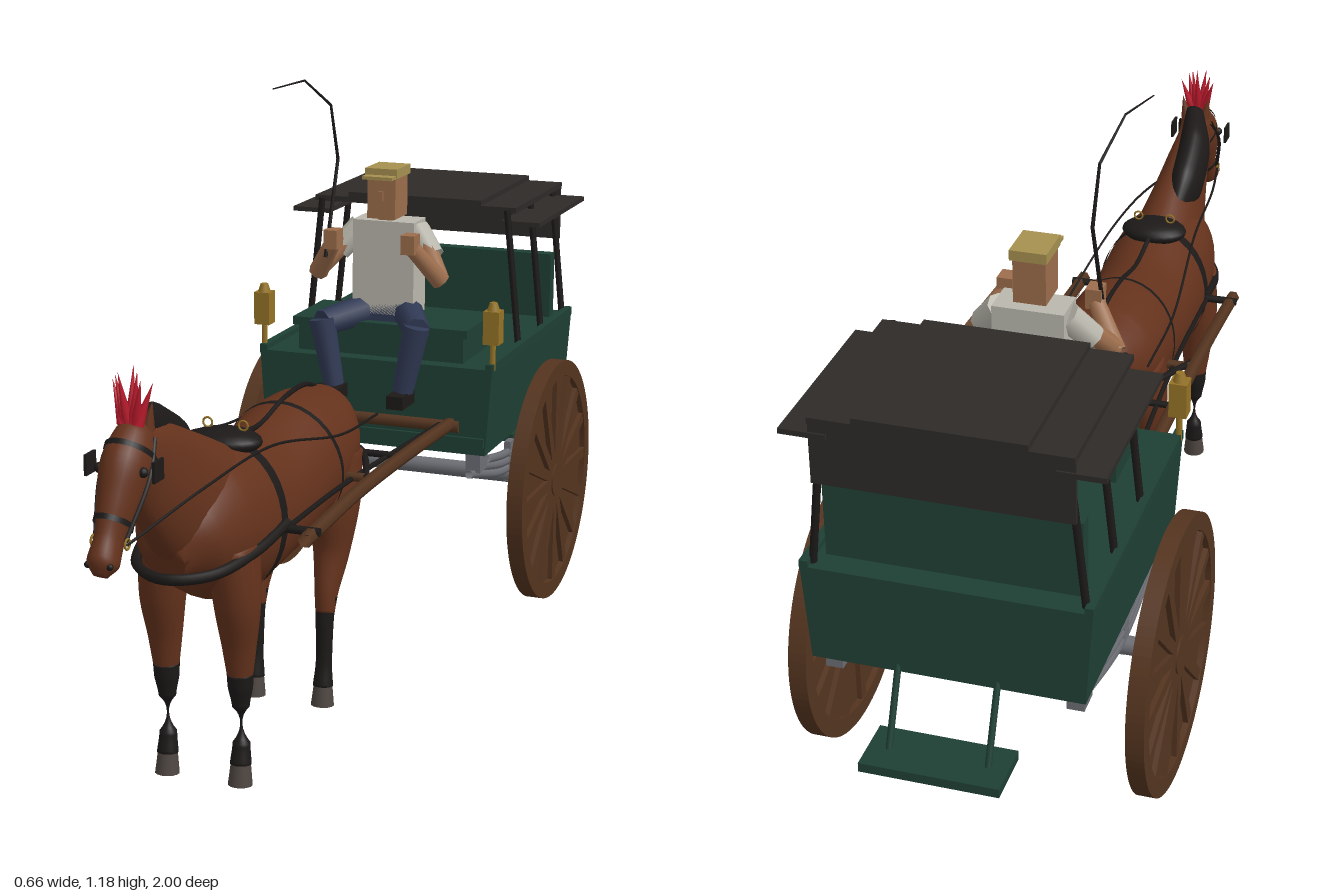
import * as THREE from 'three';

const V = (p) => new THREE.Vector3(...p);
const mats = {};
const mat = (color) => (mats[color] ??= new THREE.MeshStandardMaterial({ color, side: THREE.DoubleSide }));
const GREEN = 0x1f4034, BROWN = 0x64321c, WOOD = 0x54341f, BLACK = 0x1c1918, ROOF = 0x2d2a28,
  GREY = 0x6c6e74, SHIRT = 0xbab8ad, JEANS = 0x313a55, SKIN = 0x9c6d4c, CAP = 0xa69050, RED = 0xb5182a, GOLD = 0x957326;

export function createModel() {
  const root = new THREE.Group();
  let group = root;
  const section = (name) => { group = new THREE.Group(); group.name = name; root.add(group); };
  const add = (name, geo, color, pos = [0, 0, 0]) => {
    const m = new THREE.Mesh(geo, mat(color));
    m.name = name;
    m.position.set(...pos);
    group.add(m);
    return m;
  };
  const box = (name, color, size, pos) => add(name, new THREE.BoxGeometry(...size), color, pos);
  // straight member between two points
  const rod = (name, color, a, b, r1, r2 = r1, sides = 10) => {
    const d = V(b).sub(V(a));
    const m = add(name, new THREE.CylinderGeometry(r2, r1, d.length(), sides), color, V(a).lerp(V(b), 0.5).toArray());
    m.quaternion.setFromUnitVectors(V([0, 1, 0]), d.normalize());
    return m;
  };
  const tube = (name, color, pts, r, type = 'centripetal') =>
    add(name, new THREE.TubeGeometry(new THREE.CatmullRomCurve3(pts.map(V), false, type), 40, r, 6), color);
  // flat strap looped round an ellipse
  const band = (name, y, z, rx, ry, width, tilt = 0) => {
    const g = new THREE.CylinderGeometry(1, 1, 1, 36, 1, true).scale(rx, width, ry).rotateX(Math.PI / 2 + tilt);
    return add(name, g, BLACK, [0, y, z]);
  };
  // smooth skin over elliptical rings: rows of x, y, z, half width, half depth
  const loft = (name, color, rows, steps = 32, sides = 24) => {
    const path = new THREE.CatmullRomCurve3(rows.map((r) => V(r.slice(0, 3))));
    const size = new THREE.CatmullRomCurve3(rows.map((r) => V([r[3], r[4], 0])));
    const pos = [], idx = [];
    for (let i = 0; i <= steps; i++) {
      const c = path.getPoint(i / steps), s = size.getPoint(i / steps), d = path.getTangent(i / steps);
      const tilt = Math.atan2(-d.y, d.z);
      for (let j = 0; j < sides; j++) {
        const t = (j / sides) * Math.PI * 2, h = s.y * Math.sin(t), k = (j + 1) % sides;
        pos.push(c.x + s.x * Math.cos(t), c.y + h * Math.cos(tilt), c.z + h * Math.sin(tilt));
        const a = i * sides + j, b = i * sides + k;
        if (i < steps) idx.push(a, b, a + sides, b, b + sides, a + sides);
      }
    }
    const last = steps * sides;
    for (let j = 1; j < sides - 1; j++) idx.push(0, j + 1, j, last, last + j, last + j + 1);
    const g = new THREE.BufferGeometry();
    g.setAttribute('position', new THREE.Float32BufferAttribute(pos, 3));
    g.setIndex(idx);
    g.computeVertexNormals();
    return add(name, g, color);
  };

  // Cart body, widening slightly upward
  section('cart');
  const tub = new THREE.BoxGeometry(0.52, 0.185, 0.6), tp = tub.attributes.position;
  for (let i = 0; i < tp.count; i++) if (tp.getY(i) < 0) tp.setX(i, tp.getX(i) * 0.95);
  tub.computeVertexNormals();
  add('cartBody', tub, GREEN, [0, 0.49, -0.59]);
  box('frontTrim', GREEN, [0.49, 0.02, 0.015], [0, 0.425, -0.29]);
  box('seatBox', GREEN, [0.37, 0.06, 0.16], [0, 0.61, -0.405]);
  box('seatTop', GREEN, [0.39, 0.018, 0.175], [0, 0.646, -0.405]);
  box('backBoard', GREEN, [0.46, 0.145, 0.03], [0, 0.655, -0.828]);
  box('rearStep', GREEN, [0.254, 0.018, 0.108], [0, 0.265, -0.946]);
  rod('axle', GREY, [-0.3, 0.282, -0.555], [0.3, 0.282, -0.555], 0.018, 0.018, 16);
  for (const s of [-1, 1]) {
    box('topRail', GREEN, [0.016, 0.018, 0.6], [s * 0.253, 0.585, -0.59]);
    rod('stepBracket', GREEN, [s * 0.09, 0.41, -0.885], [s * 0.09, 0.265, -0.95], 0.006);
    // leaf springs and hangers
    for (const [k, dip] of [[0, 0.3], [1, 0.318], [2, 0.336]])
      tube('leafSpring', GREY, [[s * 0.22, 0.36, -0.84 + k * 0.06], [s * 0.22, dip, -0.555], [s * 0.22, 0.36, -0.27 - k * 0.06]], 0.009);
    for (const z of [-0.835, -0.32]) box('springHanger', GREY, [0.032, 0.045, 0.05], [s * 0.22, 0.38, z]);
    box('springClamp', GREY, [0.014, 0.09, 0.03], [s * 0.22, 0.315, -0.555]);
    // lamps
    box('lamp', GOLD, [0.034, 0.07, 0.034], [s * 0.256, 0.672, -0.305]);
    rod('lampCap', GOLD, [s * 0.256, 0.706, -0.305], [s * 0.256, 0.724, -0.305], 0.014, 0.008);
    rod('lampStem', GOLD, [s * 0.256, 0.58, -0.305], [s * 0.256, 0.64, -0.305], 0.006);
    // roof posts
    for (const z of [-0.53, -0.7, -0.87]) rod('roofPost', BLACK, [s * 0.243, 0.58, z], [s * 0.212, 0.875, z], 0.007);
    box('roofWing', ROOF, [0.085, 0.01, 0.355], [s * 0.24, 0.846, -0.712]);
  }
  box('roofPanel', ROOF, [0.46, 0.012, 0.355], [0, 0.874, -0.712]);
  box('roofCentre', ROOF, [0.304, 0.012, 0.355], [0, 0.885, -0.712]);
  box('rearFlap', ROOF, [0.46, 0.12, 0.008], [0, 0.812, -0.882]);

  // Wheels: rim ring, recessed disc, spokes, hub
  const ring = new THREE.Shape().absarc(0, 0, 0.262, 0, Math.PI * 2);
  ring.holes.push(new THREE.Path().absarc(0, 0, 0.228, 0, Math.PI * 2));
  const rimGeo = new THREE.ExtrudeGeometry(ring, { depth: 0.034, bevelEnabled: false, curveSegments: 48 })
    .translate(0, 0, -0.017).rotateY(Math.PI / 2);
  for (const s of [-1, 1]) {
    section(s > 0 ? 'leftWheel' : 'rightWheel');
    group.position.set(s * 0.313, 0.282, -0.555);
    add('rim', rimGeo, WOOD);
    add('wheelDisc', new THREE.CylinderGeometry(0.235, 0.235, 0.01, 48).rotateZ(Math.PI / 2), WOOD);
    add('hub', new THREE.CylinderGeometry(0.036, 0.036, 0.036, 20).rotateZ(Math.PI / 2), WOOD);
    for (let i = 0; i < 16; i++) {
      const sp = box('spoke', WOOD, [0.03, 0.2, 0.023], [0, 0, 0]);
      sp.geometry.translate(0, 0.132, 0);
      sp.rotation.x = (i * Math.PI) / 8;
    }
  }

  // Shafts and cross pieces
  section('shafts');
  for (const s of [-1, 1])
    tube('shaft', WOOD, [[s * 0.17, 0.46, -0.3], [s * 0.17, 0.468, 0], [s * 0.17, 0.468, 0.25], [s * 0.17, 0.453, 0.52]], 0.014);
  rod('splinterBar', WOOD, [-0.19, 0.455, -0.292], [0.19, 0.455, -0.292], 0.013);
  rod('rearCrossbar', BLACK, [-0.17, 0.468, 0], [0.17, 0.468, 0], 0.007);
  for (const s of [-1, 1]) {
    rod('shaftStrap', WOOD, [s * 0.1, 0.468, 0.165], [s * 0.18, 0.468, 0.165], 0.009);
    rod('shaftLoop', BLACK, [s * 0.1, 0.46, 0.485], [s * 0.185, 0.46, 0.485], 0.008);
  }

  // Horse
  section('horse');
  loft('horseBody', BROWN, [[0, 0.53, -0.025, 0.02, 0.03], [0, 0.53, 0.01, 0.075, 0.075], [0, 0.515, 0.08, 0.108, 0.105],
    [0, 0.49, 0.2, 0.117, 0.13], [0, 0.465, 0.35, 0.115, 0.13], [0, 0.47, 0.5, 0.115, 0.145],
    [0, 0.485, 0.6, 0.108, 0.13], [0, 0.48, 0.68, 0.085, 0.095], [0, 0.46, 0.735, 0.035, 0.04]], 48, 32);
  loft('neck', BROWN, [[0, 0.5, 0.57, 0.085, 0.13], [0, 0.56, 0.67, 0.064, 0.118], [0, 0.635, 0.775, 0.044, 0.09], [0, 0.69, 0.855, 0.033, 0.05]]);
  loft('head', BROWN, [[0, 0.735, 0.825, 0.016, 0.015], [0, 0.715, 0.845, 0.034, 0.042], [0, 0.67, 0.878, 0.043, 0.058], [0, 0.615, 0.915, 0.034, 0.047],
    [0, 0.565, 0.95, 0.024, 0.033], [0, 0.535, 0.972, 0.027, 0.031], [0, 0.515, 0.983, 0.012, 0.014]]);
  loft('mane', BLACK, [[-0.02, 0.6, 0.59, 0.018, 0.03], [-0.024, 0.645, 0.67, 0.036, 0.06], [-0.02, 0.695, 0.755, 0.034, 0.055], [0, 0.742, 0.835, 0.02, 0.022]]);
  loft('forelock', BLACK, [[0, 0.74, 0.835, 0.02, 0.012], [0, 0.715, 0.885, 0.022, 0.012], [0, 0.675, 0.925, 0.006, 0.006]], 12, 12);
  loft('tail', BLACK, [[0, 0.595, 0.02, 0.016, 0.014], [0, 0.56, -0.02, 0.022, 0.02], [0, 0.46, -0.06, 0.034, 0.03], [0, 0.36, -0.09, 0.028, 0.02], [0, 0.27, -0.118, 0.005, 0.005]]);
  for (const s of [-1, 1]) {
    const x = s * 0.073;
    loft('frontLeg', BROWN, [[x * 0.9, 0.46, 0.6, 0.045, 0.065], [x, 0.35, 0.6, 0.042, 0.046], [x, 0.27, 0.594, 0.032, 0.03], [x, 0.2, 0.59, 0.022, 0.024]]);
    loft('frontStocking', BLACK, [[x, 0.215, 0.591, 0.024, 0.026], [x, 0.19, 0.59, 0.023, 0.024], [x, 0.15, 0.589, 0.016, 0.016], [x, 0.08, 0.588, 0.016, 0.016], [x, 0.04, 0.592, 0.02, 0.02]]);
    loft('hindLeg', BROWN, [[x * 0.9, 0.5, 0.115, 0.05, 0.1], [x, 0.4, 0.13, 0.048, 0.075], [x, 0.31, 0.14, 0.036, 0.045], [x, 0.23, 0.168, 0.023, 0.028], [x, 0.19, 0.176, 0.019, 0.02]]);
    loft('hindStocking', BLACK, [[x, 0.22, 0.17, 0.022, 0.024], [x, 0.18, 0.177, 0.018, 0.019], [x, 0.09, 0.182, 0.016, 0.016], [x, 0.04, 0.187, 0.02, 0.02]]);
    for (const z of [0.595, 0.19]) rod('hoof', 0x4d4540, [x, 0, z], [x, 0.046, z - 0.004], 0.023, 0.018, 14);
    const ear = add('ear', new THREE.ConeGeometry(0.013, 0.05, 10), BROWN, [s * 0.025, 0.752, 0.84]);
    ear.rotation.z = -s * 0.2;
    add('eye', new THREE.SphereGeometry(0.009, 12, 8), BLACK, [s * 0.04, 0.672, 0.9]);
    add('nostril', new THREE.SphereGeometry(0.006, 10, 8), BLACK, [s * 0.02, 0.535, 0.988]);
  }

  // Harness
  section('harness');
  const pad = add('saddlePad', new THREE.SphereGeometry(1, 24, 12), BLACK, [0, 0.612, 0.48]);
  pad.scale.set(0.07, 0.024, 0.052);
  band('girth', 0.469, 0.485, 0.118, 0.147, 0.028);
  band('loinStrap', 0.489, 0.2, 0.1195, 0.133, 0.012, 0.2);
  band('noseBand', 0.59, 0.932, 0.032, 0.043, 0.01, 0.98);
  band('browBand', 0.69, 0.865, 0.043, 0.055, 0.01, 0.9);
  tube('backStrap', BLACK, [[0, 0.615, 0.45], [0, 0.6, 0.33], [0, 0.623, 0.2], [0, 0.622, 0.09], [0, 0.59, 0.01]], 0.005);
  tube('breastCollar', BLACK, [[-0.12, 0.47, 0.48], [-0.108, 0.45, 0.6], [-0.07, 0.435, 0.705], [0, 0.432, 0.745],
    [0.07, 0.435, 0.705], [0.108, 0.45, 0.6], [0.12, 0.47, 0.48]], 0.01);
  tube('breeching', BLACK, [[-0.16, 0.47, 0.18], [-0.11, 0.48, 0.06], [-0.07, 0.48, 0], [0, 0.49, -0.03], [0.07, 0.48, 0], [0.11, 0.48, 0.06], [0.16, 0.47, 0.18]], 0.007);
  for (const s of [-1, 1]) {
    tube('trace', BLACK, [[s * 0.12, 0.46, 0.5], [s * 0.125, 0.465, 0.2], [s * 0.15, 0.46, -0.28]], 0.005);
    tube('rein', BLACK, [[s * 0.03, 0.56, 0.945], [s * 0.07, 0.6, 0.72], [s * 0.09, 0.61, 0.48], [s * 0.115, 0.56, 0.2], [s * 0.115, 0.55, 0]], 0.0025);
    tube('cheekStrap', BLACK, [[s * 0.036, 0.715, 0.845], [s * 0.045, 0.66, 0.885], [s * 0.028, 0.565, 0.945]], 0.004);
    box('blinker', BLACK, [0.005, 0.036, 0.036], [s * 0.062, 0.675, 0.89]);
    add('bitRing', new THREE.TorusGeometry(0.009, 0.002, 6, 14).rotateY(Math.PI / 2), GOLD, [s * 0.031, 0.562, 0.945]);
    add('terret', new THREE.TorusGeometry(0.009, 0.002, 6, 14), GOLD, [s * 0.035, 0.642, 0.48]);
  }
  for (let i = 0; i < 7; i++) {
    const a = (i - 3) * 0.13, h = 0.1 - Math.abs(i - 3) * 0.008;
    const f = add('plumeFeather', new THREE.ConeGeometry(0.011, h, 8).translate(0, h / 2, 0), RED, [a * 0.035, 0.74, 0.862]);
    f.rotation.set((i % 3 - 1) * 0.16, 0, -a * 0.8);
  }

  // Driver
  section('driver');
  box('torso', SHIRT, [0.136, 0.2, 0.075], [0, 0.77, -0.378]);
  box('neck', SKIN, [0.035, 0.025, 0.035], [0, 0.878, -0.37]);
  box('head', SKIN, [0.062, 0.09, 0.075], [0, 0.922, -0.365]);
  box('nose', SKIN, [0.01, 0.02, 0.01], [0, 0.925, -0.325]);
  box('cap', CAP, [0.07, 0.02, 0.085], [0, 0.973, -0.367]);
  box('capBrim', CAP, [0.066, 0.007, 0.03], [0, 0.966, -0.315]);
  for (const s of [-1, 1]) {
    rod('sleeve', SHIRT, [s * 0.062, 0.85, -0.378], [s * 0.105, 0.8, -0.355], 0.028, 0.026, 8);
    rod('upperArm', SKIN, [s * 0.09, 0.82, -0.36], [s * 0.135, 0.762, -0.315], 0.021, 0.02, 8);
    rod('forearm', SKIN, [s * 0.137, 0.757, -0.318], [s * 0.088, 0.83, -0.275], 0.021, 0.017, 8);
    box('hand', SKIN, [0.03, 0.04, 0.036], [s * 0.085, 0.84, -0.27]);
    rod('thigh', JEANS, [s * 0.04, 0.675, -0.38], [s * 0.105, 0.66, -0.26], 0.033, 0.028, 8);
    rod('shin', JEANS, [s * 0.105, 0.67, -0.258], [s * 0.077, 0.53, -0.255], 0.028, 0.022, 8);
    box('boot', BLACK, [0.036, 0.028, 0.075], [s * 0.075, 0.515, -0.246]);
  }
  box('hips', JEANS, [0.13, 0.04, 0.075], [0, 0.675, -0.378]);
  // whip in short straight lengths
  const whip = [[-0.1, 0.8, -0.265], [-0.092, 1.0, -0.315], [-0.098, 1.115, -0.29], [-0.12, 1.175, -0.2], [-0.143, 1.17, -0.09]];
  for (let i = 0; i < 4; i++) rod('whip', BLACK, whip[i], whip[i + 1], 0.0045 - i * 0.0008, 0.0037 - i * 0.0008, 8);

  return root;
}
